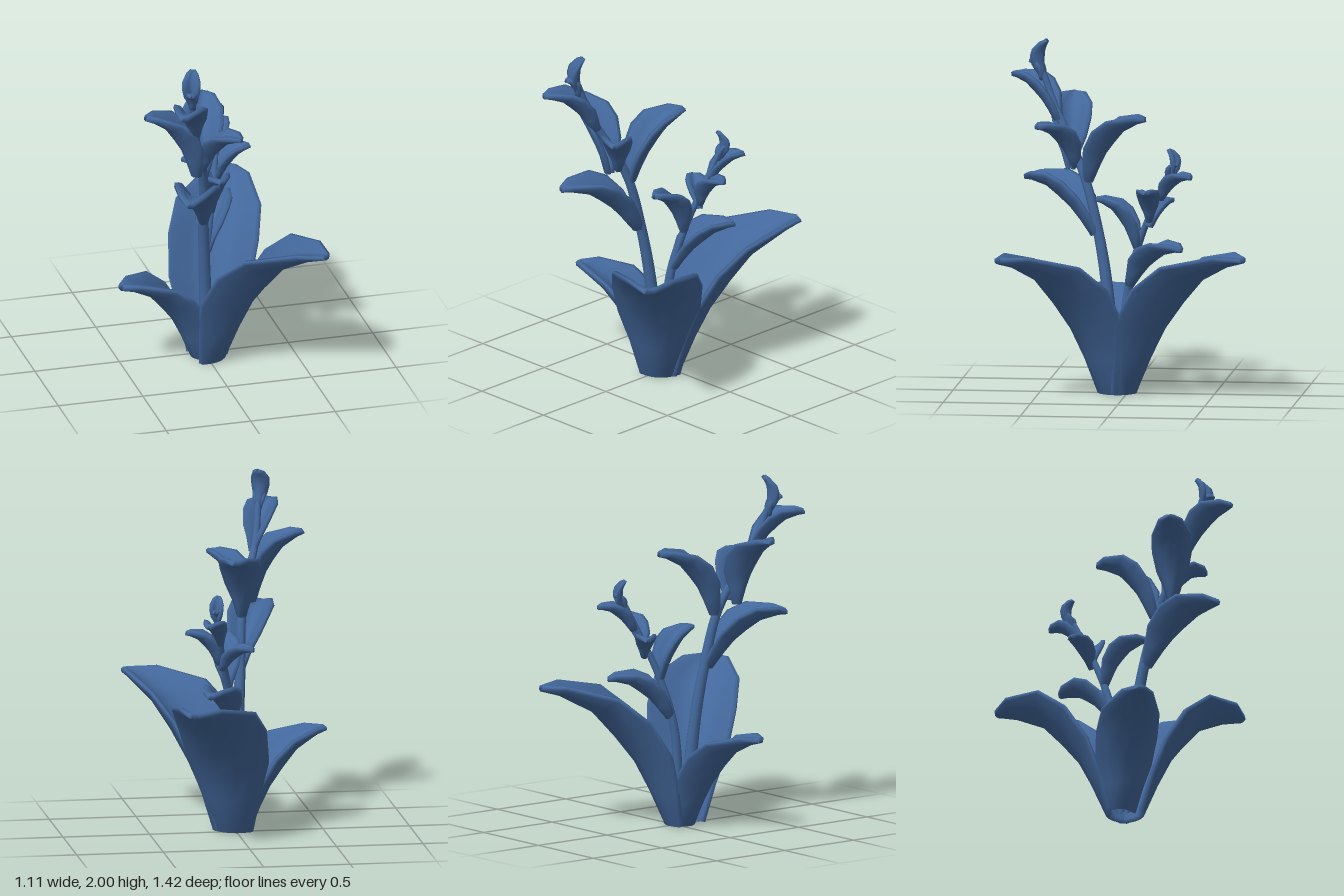
import * as THREE from 'three';

// Leaf rows in local units (outward = +z): edge z, edge y, half width, midrib z, midrib y
const ROWS = [
  [0, 0, 0.106, 0.052, 0],
  [0.04, 0.22, 0.162, 0.148, 0.21],
  [0.09, 0.42, 0.226, 0.237, 0.38],
  [0.22, 0.63, 0.25, 0.355, 0.53],
  [0.4, 0.77, 0.235, 0.49, 0.68],
  [0.675, 0.83, 0.12, 0.69, 0.785],
  [0.8, 0.82, 0.02, 0.8, 0.815],
];
// Leaves on the stalks narrow towards their base and are cupped deeper
const BROAD = { taper: [1, 1, 1, 1, 1, 1, 1], cup: 1 };
const STALKED = { taper: [0.25, 0.55, 0.78, 0.92, 0.98, 1.05, 1], cup: 1.2 };
const N = 6; // strips across a leaf
const TIP_LENGTH = Math.hypot(0.8, 0.82);
const TIP_ANGLE = Math.atan2(0.82, 0.8);

// Thick cupped leaf: a curved sheet offset to both sides and closed by a rounded rim
function leafGeometry(thickness, { taper, cup }) {
  const sheet = [], sheetIndex = [];
  ROWS.forEach(([ez, ey, hw, mz, my], i) => {
    for (let j = 0; j <= N; j++) {
      const v = (2 * j) / N - 1, c = cup * v * v;
      sheet.push(v * hw * taper[i], my + (ey - my) * c, mz + (ez - mz) * c);
    }
  });
  for (let i = 0; i < ROWS.length - 1; i++) {
    for (let j = 0; j < N; j++) {
      const a = i * (N + 1) + j, b = a + N + 1;
      sheetIndex.push(a, b, a + 1, a + 1, b, b + 1);
    }
  }
  const mid = new THREE.BufferGeometry();
  mid.setAttribute('position', new THREE.Float32BufferAttribute(sheet, 3));
  mid.setIndex(sheetIndex);
  mid.computeVertexNormals();

  const p = new THREE.Vector3(), n = new THREE.Vector3(), inner = new THREE.Vector3();
  const pos = [], index = [], R = 2 * N + 4, h = thickness / 2;
  const read = (i, j) => {
    p.fromBufferAttribute(mid.attributes.position, i * (N + 1) + j);
    n.fromBufferAttribute(mid.attributes.normal, i * (N + 1) + j);
  };
  const side = (i, j, s) => { read(i, j); p.addScaledVector(n, s * h); pos.push(p.x, p.y, p.z); };
  const rim = (i, j, k) => {
    read(i, k); inner.copy(p);
    read(i, j); inner.subVectors(p, inner).normalize();
    p.addScaledVector(inner, h); pos.push(p.x, p.y, p.z);
  };
  for (let i = 0; i < ROWS.length; i++) {
    for (let j = 0; j <= N; j++) side(i, j, 1);
    rim(i, N, N - 1);
    for (let j = N; j >= 0; j--) side(i, j, -1);
    rim(i, 0, 1);
  }
  for (let i = 0; i < ROWS.length - 1; i++) {
    for (let k = 0; k < R; k++) {
      const a = i * R + k, b = i * R + ((k + 1) % R);
      index.push(a, a + R, b, b, a + R, b + R);
    }
  }
  // End caps
  const last = (ROWS.length - 1) * R;
  const cap = (a, b, c) => index.push(a, b, c, last + a, last + c, last + b);
  for (let j = 0; j < N; j++) {
    const d = 2 * N + 2 - j;
    cap(j, j + 1, d);
    cap(j + 1, d - 1, d);
  }
  cap(N, N + 1, N + 2);
  cap(R - 1, 0, R - 2);

  const g = new THREE.BufferGeometry();
  g.setAttribute('position', new THREE.Float32BufferAttribute(pos, 3));
  g.setIndex(index);
  g.computeVertexNormals();
  return g;
}

// Places a leaf so that it runs from base to tip; yaw can be forced for upright leaves
function makeLeaf(name, material, shape, base, tip, thickness, yaw) {
  const [dx, dy, dz] = tip.map((t, i) => t - base[i]);
  const turn = yaw ?? Math.atan2(dx, dz);
  const reach = dx * Math.sin(turn) + dz * Math.cos(turn);
  const scale = Math.hypot(dx, dy, dz) / TIP_LENGTH;
  const leaf = new THREE.Mesh(leafGeometry(thickness / scale, shape), material);
  leaf.name = name;
  leaf.position.set(...base);
  leaf.rotation.set(TIP_ANGLE - Math.atan2(dy, reach), turn, 0, 'YXZ');
  leaf.scale.setScalar(scale);
  return leaf;
}

// Tapered stem with closed ends
function makeStem(name, material, points, r0, r1) {
  const curve = new THREE.CatmullRomCurve3(points.map((q) => new THREE.Vector3(...q)));
  const steps = 40, sides = 10;
  const g = new THREE.TubeGeometry(curve, steps, 1, sides);
  const pos = g.attributes.position, v = new THREE.Vector3();
  for (let i = 0; i <= steps; i++) {
    const c = curve.getPointAt(i / steps);
    const r = i === 0 || i === steps ? 0.001 : r0 + ((r1 - r0) * i) / steps;
    for (let j = 0; j <= sides; j++) {
      const k = i * (sides + 1) + j;
      v.fromBufferAttribute(pos, k).sub(c).multiplyScalar(r).add(c);
      pos.setXYZ(k, v.x, v.y, v.z);
    }
  }
  const stem = new THREE.Mesh(g, material);
  stem.name = name;
  return stem;
}

export function createModel() {
  const group = new THREE.Group();
  group.name = 'plant';
  const blue = new THREE.MeshStandardMaterial({ color: 0x43689c });
  blue.name = 'plant blue';

  // Three large leaves at the ground
  const ground = [
    ['frontBaseLeaf', [0.025, 0, 0.09], [0.535, 0.82, 0.68]],
    ['backBaseLeaf', [0.015, 0, 0.02], [0.35, 0.82, -0.7]],
    ['sideBaseLeaf', [-0.035, 0, 0.04], [-0.54, 0.545, 0.19]],
  ];
  for (const [name, base, tip] of ground) group.add(makeLeaf(name, blue, BROAD, base, tip, 0.034));

  // Tall stem leaning forward
  const tall = new THREE.Group();
  tall.name = 'tallStalk';
  tall.add(makeStem('tallStem', blue, [
    [0, 0, 0.07], [-0.03, 0.6, 0.12], [-0.05, 0.9, 0.17], [-0.07, 1.2, 0.245],
    [-0.12, 1.4, 0.33], [-0.18, 1.6, 0.43], [-0.21, 1.83, 0.515],
  ], 0.042, 0.018));
  const tallLeaves = [
    [[-0.05, 0.9, 0.18], [-0.25, 1.2, 0.61], 0.034],
    [[-0.07, 1.2, 0.24], [0.02, 1.575, -0.1], 0.034],
    [[-0.13, 1.26, 0.34], [-0.44, 1.66, 0.35], 0.032],
    [[-0.1, 1.28, 0.3], [0.08, 1.53, 0.51], 0.032],
    [[-0.16, 1.54, 0.41], [-0.31, 1.78, 0.69], 0.032],
    [[-0.21, 1.76, 0.51], [-0.235, 1.87, 0.585], 0.027],
    [[-0.21, 1.78, 0.51], [-0.2, 1.99, 0.485], 0.027, 2.7],
  ];
  tallLeaves.forEach(([b, t, h, yaw], i) => tall.add(makeLeaf(`tallStalkLeaf${i + 1}`, blue, STALKED, b, t, h, yaw)));

  // Short stem leaning back
  const short = new THREE.Group();
  short.name = 'shortStalk';
  short.add(makeStem('shortStem', blue, [
    [0.01, 0, 0.03], [0.01, 0.55, 0], [0.06, 0.85, -0.07],
    [0.11, 1.08, -0.16], [0.15, 1.3, -0.26],
  ], 0.034, 0.014));
  const shortLeaves = [
    [[0.02, 0.62, -0.01], [0.2, 0.85, -0.33], 0.032],
    [[0.06, 0.84, -0.07], [0.06, 1.12, 0.17], 0.032],
    [[0.11, 1.0, -0.14], [0.31, 1.19, -0.14], 0.028],
    [[0.11, 0.97, -0.14], [-0.06, 1.1, -0.25], 0.028],
    [[0.12, 1.13, -0.2], [0.22, 1.27, -0.39], 0.028],
    [[0.15, 1.25, -0.25], [0.17, 1.34, -0.31], 0.022],
    [[0.15, 1.26, -0.27], [0.15, 1.42, -0.25], 0.022, -0.4],
  ];
  shortLeaves.forEach(([b, t, h, yaw], i) => short.add(makeLeaf(`shortStalkLeaf${i + 1}`, blue, STALKED, b, t, h, yaw)));

  group.add(tall, short);
  return group;
}
